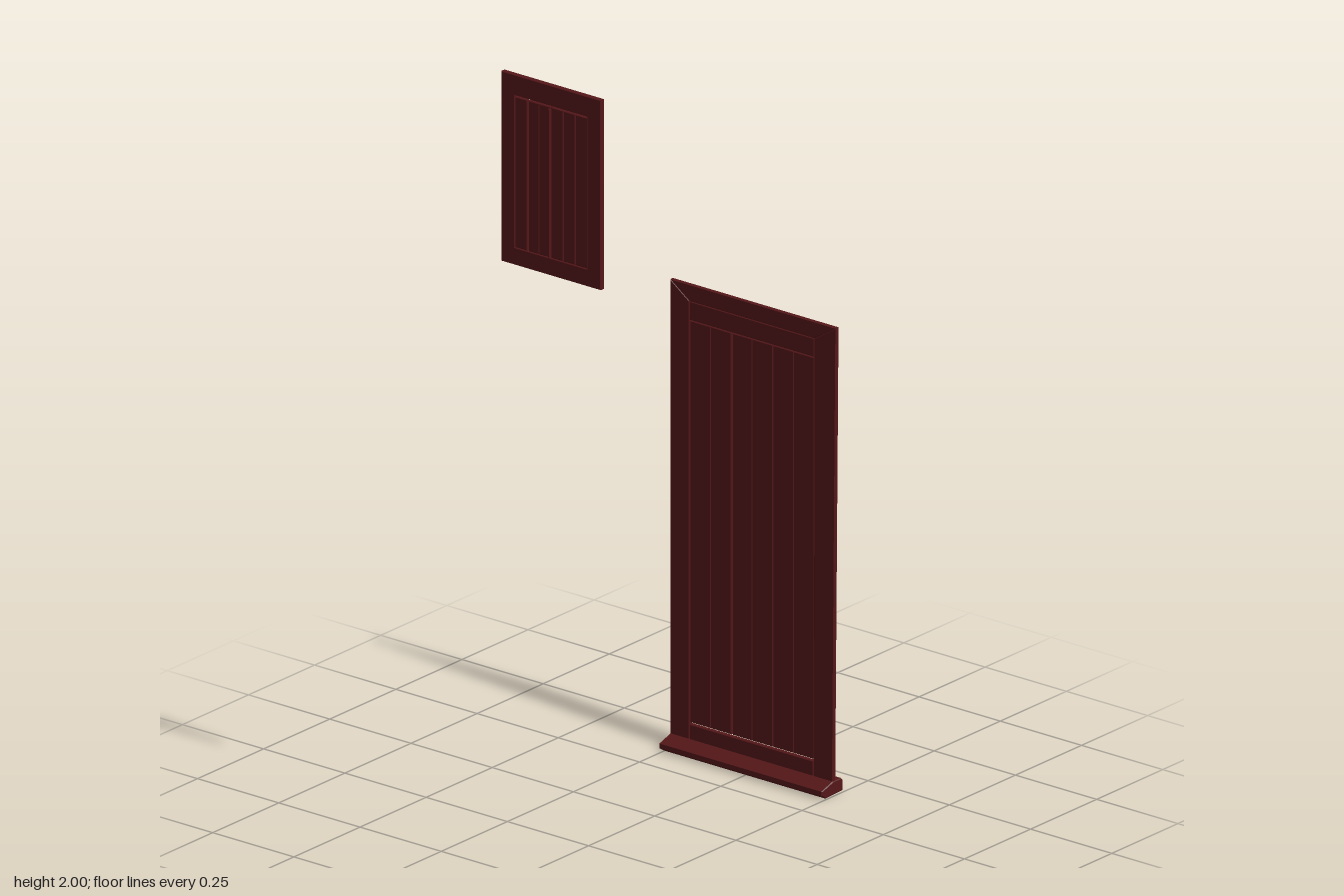
import * as THREE from 'three';

const wood = new THREE.MeshStandardMaterial({ color: 0x551719, flatShading: true });

// Chamfered board cut from an outline of [x, y] points, spanning z0..z1
function board(name, points, z0, z1, bevel = 0.002, hole = null) {
  const toVec = ([x, y]) => new THREE.Vector2(x, y);
  const shape = new THREE.Shape(points.map(toVec));
  if (hole) shape.holes.push(new THREE.Path(hole.map(toVec)));
  const geo = new THREE.ExtrudeGeometry(shape, {
    depth: z1 - z0 - 2 * bevel, bevelEnabled: true, bevelSegments: 1,
    bevelSize: bevel, bevelThickness: bevel, bevelOffset: -bevel,
  });
  geo.translate(0, 0, z0 + bevel);
  const mesh = new THREE.Mesh(geo, wood);
  mesh.name = name;
  return mesh;
}

const rect = (x0, y0, x1, y1) => [[x0, y0], [x1, y0], [x1, y1], [x0, y1]];

// Row of upright planks; one joint is left open
function planks(count, x0, x1, y0, y1, z0, z1, openJoint) {
  const row = new THREE.Group();
  row.name = 'planks';
  const w = (x1 - x0) / count;
  for (let i = 0; i < count; i++) {
    const left = x0 + i * w + (i === openJoint ? 0.004 : 0);
    row.add(board('plank', rect(left, y0, x0 + (i + 1) * w, y1), z0, z1, 0.002));
  }
  return row;
}

function createDoor() {
  const door = new THREE.Group();
  door.name = 'door';
  const z0 = -0.385, z1 = -0.373;

  // Stiles, the right-hand one leaning slightly outwards
  door.add(board('leftStile', [[-0.256, 0.03], [-0.197, 0.03], [-0.197, 1.158], [-0.256, 1.2]], z0, z1));
  door.add(board('rightStile', [[0.185, 0.03], [0.244, 0.03], [0.254, 1.2], [0.187, 1.158]], z0, z1));

  // Mitred top rail, inner rail and bottom rail
  door.add(board('topRail', [[-0.197, 1.158], [0.187, 1.158], [0.254, 1.2], [-0.256, 1.2]], z0, z1));
  door.add(board('innerRail', rect(-0.197, 1.11, 0.187, 1.158), z0, z1));
  door.add(board('bottomRail', rect(-0.197, 0.03, 0.185, 0.073), z0, z1));

  door.add(planks(6, -0.197, 0.186, 0.077, 1.108, -0.387, -0.375, 2));
  return door;
}

// Sill: a weathered profile (z, y) swept across the doorway
function createSill() {
  const profile = [[-0.41, 0.002], [-0.345, 0], [-0.33, 0.01], [-0.33, 0.022],
    [-0.372, 0.035], [-0.404, 0.035], [-0.41, 0.029]];
  const sill = board('sill', profile.map(([z, y]) => [-z, y]), -0.256, 0.246, 0.002);
  sill.geometry.rotateY(Math.PI / 2);
  return sill;
}

function createShutter() {
  const shutter = new THREE.Group();
  shutter.name = 'shutter';
  shutter.add(board('shutterFrame', rect(-0.143, 1.513, 0.163, 2), 0.391, 0.405, 0.0015,
    rect(-0.102, 1.557, 0.121, 1.948)));
  shutter.add(planks(6, -0.102, 0.121, 1.557, 1.944, 0.393, 0.403, 1));
  // Raised edge of the middle plank
  shutter.add(board('raisedEdge', rect(0.004, 1.56, 0.009, 1.94), 0.399, 0.41, 0.001));
  return shutter;
}

export function createModel() {
  const model = new THREE.Group();
  model.name = 'doorAndShutter';
  model.add(createDoor(), createSill(), createShutter());
  return model;
}
